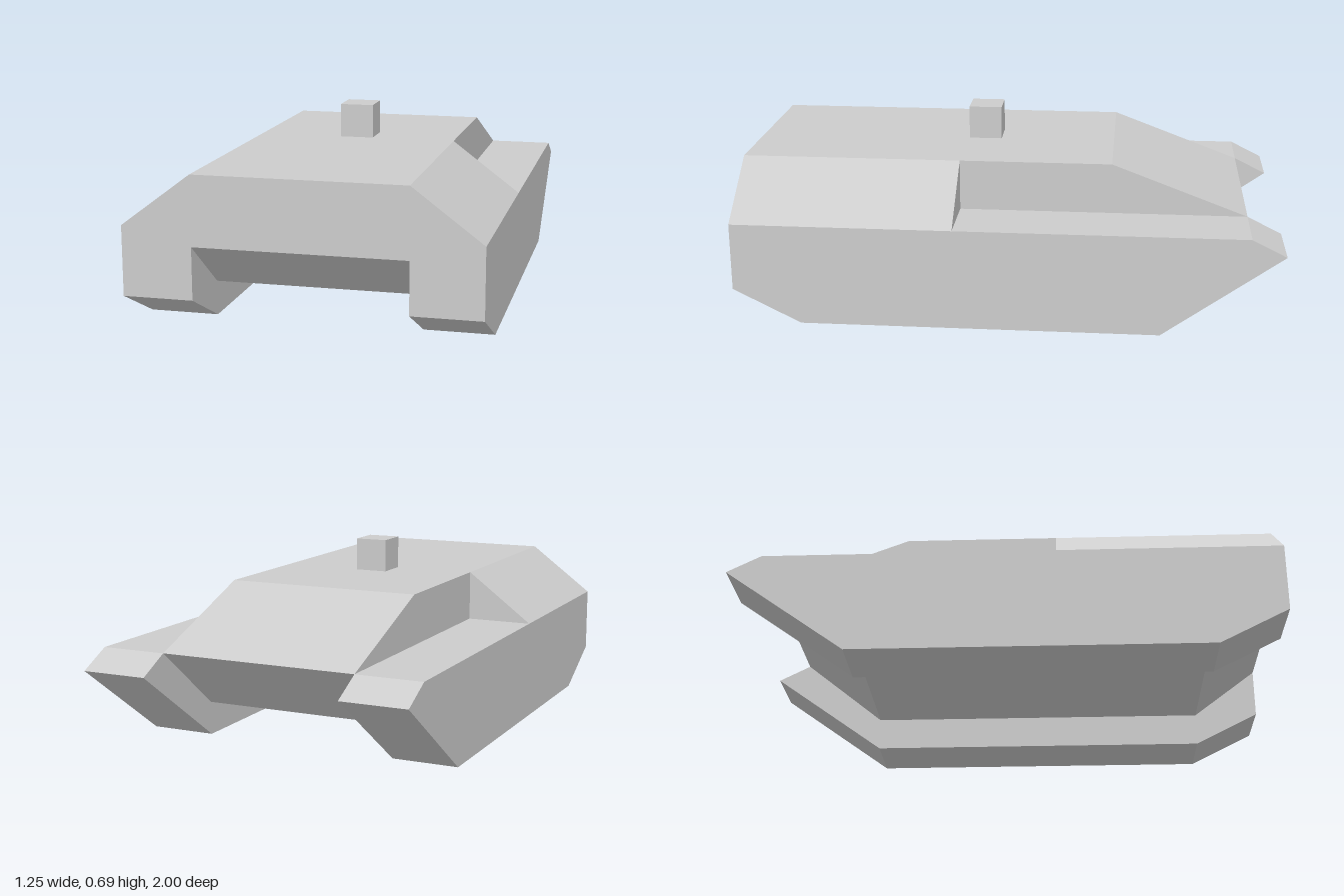
import * as THREE from 'three';

const material = new THREE.MeshStandardMaterial({ color: 0xcccccc, flatShading: true });

// Extrude a closed outline of [x, y] points along +z
function prism(points, depth) {
  const shape = new THREE.Shape(points.map(([x, y]) => new THREE.Vector2(x, y)));
  return new THREE.ExtrudeGeometry(shape, { depth, bevelEnabled: false });
}

// Side profile of [z, y] points, extruded across x from x0 to x1
function sideProfile(points, x0, x1) {
  return prism(points.map(([z, y]) => [-z, y]), x1 - x0).rotateY(Math.PI / 2).translate(x0, 0, 0);
}

export function createModel() {
  const group = new THREE.Group();
  const add = (name, geometry) => {
    const mesh = new THREE.Mesh(geometry, material);
    mesh.name = name;
    group.add(mesh);
  };

  // Central hull with sloped nose underside, belly and sloped rear deck
  add('hull', sideProfile([
    [1, 0.5625], [1, 0.3125], [0.75, 0.125], [-0.5625, 0.125], [-0.875, 0.375], [-0.375, 0.5625],
  ], -0.375, 0.375));

  const trackProfile = [
    [1, 0.375], [1, 0.125], [0.75, 0], [-0.5625, 0], [-1, 0.3125], [-0.875, 0.375],
  ];
  for (const [side, s] of [['left', 1], ['right', -1]]) {
    // Track block along each side
    const inner = s * 0.375, outer = s * 0.625;
    add(side + 'Track', sideProfile(trackProfile, Math.min(inner, outer), Math.max(inner, outer)));
    // Sloped shoulder over the front half of the track
    const wedge = prism([[inner, 0.375], [outer, 0.375], [inner, 0.5625]], 0.8125);
    add(side + 'Shoulder', wedge.translate(0, 0, 0.1875));
  }

  // Small block on the deck
  add('hatchBlock', new THREE.BoxGeometry(0.125, 0.125, 0.125).translate(0, 0.625, 0.125));

  return group;
}
